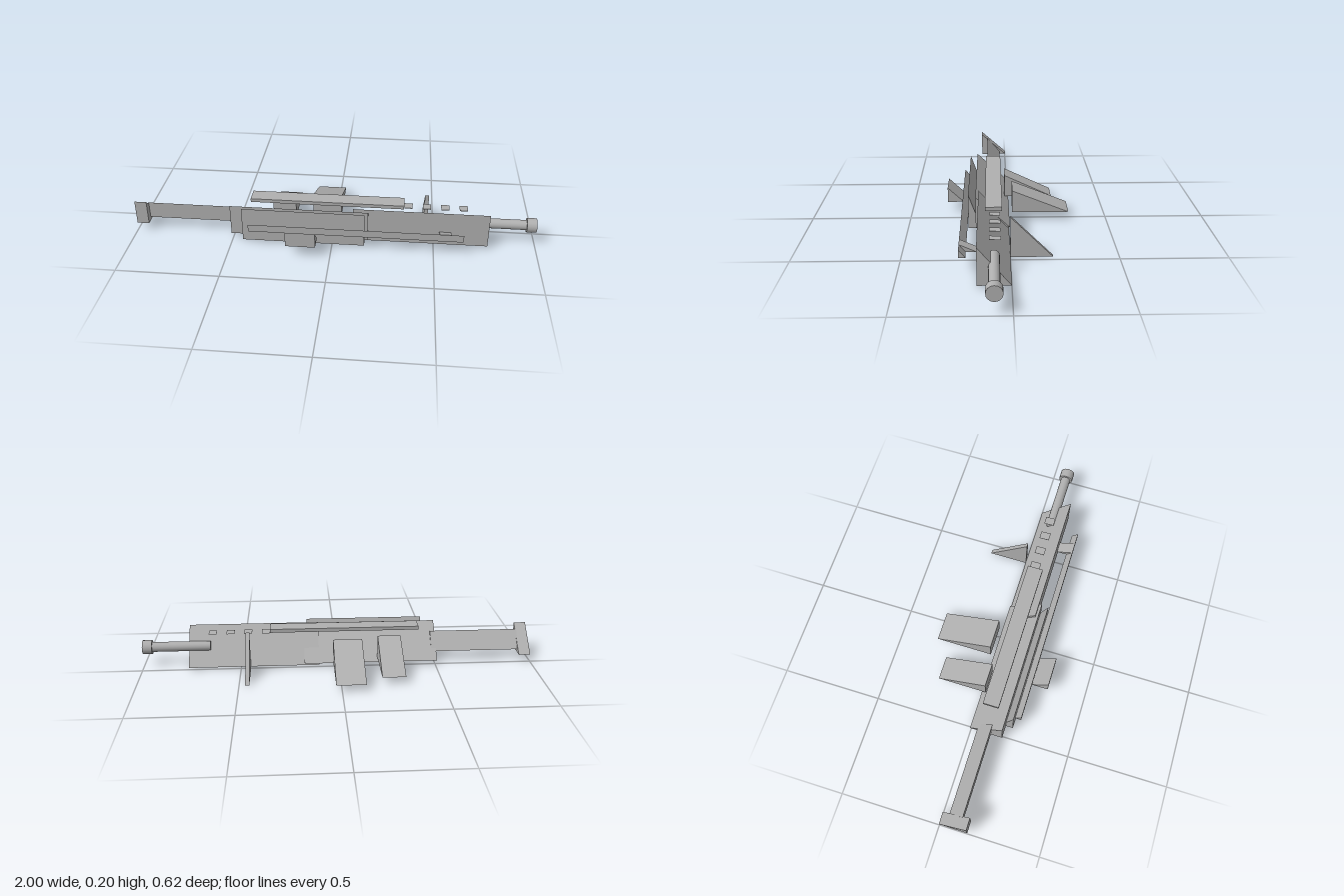
import * as THREE from 'three';

export function createModel() {
  const model = new THREE.Group();
  const grey = new THREE.MeshStandardMaterial({ color: 0xb0b0b0 });
  grey.name = 'grey';

  function add(name, geometry) {
    const mesh = new THREE.Mesh(geometry, grey);
    mesh.name = name;
    model.add(mesh);
    return mesh;
  }

  // Right-triangle prism along x: upright face at zFront, slope falling to zBack
  function wedge(name, x0, x1, y0, y1, zFront, zBack) {
    const shape = new THREE.Shape([
      new THREE.Vector2(-zFront, y0),
      new THREE.Vector2(-zBack, y0),
      new THREE.Vector2(-zFront, y1),
    ]);
    const geometry = new THREE.ExtrudeGeometry(shape, { depth: x1 - x0, bevelEnabled: false });
    geometry.rotateY(Math.PI / 2);
    geometry.translate(x0, 0, 0);
    return add(name, geometry);
  }

  // Cylinder lying along x
  function rod(name, x0, x1, radius) {
    const geometry = new THREE.CylinderGeometry(radius, radius, x1 - x0, 16);
    geometry.rotateZ(-Math.PI / 2);
    geometry.translate((x0 + x1) / 2, 0.099, 0.075);
    return add(name, geometry);
  }

  // Body, front housing and stock
  wedge('receiver', -0.51, 0.175, 0.02, 0.178, 0.163, -0.005);
  wedge('handguard', 0.1, 0.765, 0.01, 0.187, 0.149, 0);
  wedge('sidePlate', -0.445, 0.16, 0.01, 0.187, 0.199, 0.135);
  wedge('stock', -0.945, -0.485, 0.055, 0.14, 0.107, 0.035);
  wedge('buttPlate', -1, -0.94, 0.038, 0.163, 0.142, 0);

  // Side rail with its handle and block
  wedge('sideRail', -0.41, 0.64, 0.08, 0.118, 0.23, 0.199);
  wedge('chargingHandle', 0.525, 0.582, 0.08, 0.116, 0.228, 0.149);
  wedge('sideBlock', -0.215, -0.07, 0.06, 0.137, 0.311, 0.229);

  // Fins at the back
  wedge('grip', -0.317, -0.2, 0.04, 0.157, 0.016, -0.233);
  wedge('magazine', -0.117, 0.03, 0.04, 0.156, -0.02, -0.307);
  wedge('frontFin', 0.45, 0.47, 0, 0.197, 0, -0.197);

  // Top rail and floating vents
  const rail = add('topRail', new THREE.BoxGeometry(0.76, 0.018, 0.079));
  rail.position.set(-0.032, 0.188, 0.075);
  for (let i = 0; i < 4; i++) {
    const x = 0.37 + i * 0.09;
    wedge('vent', x - 0.02, x + 0.02, 0.1725, 0.1755, 0.095, 0.045);
  }

  // Barrel and muzzle
  rod('barrel', 0.655, 0.96, 0.025);
  rod('muzzle', 0.952, 1, 0.036);

  return model;
}
